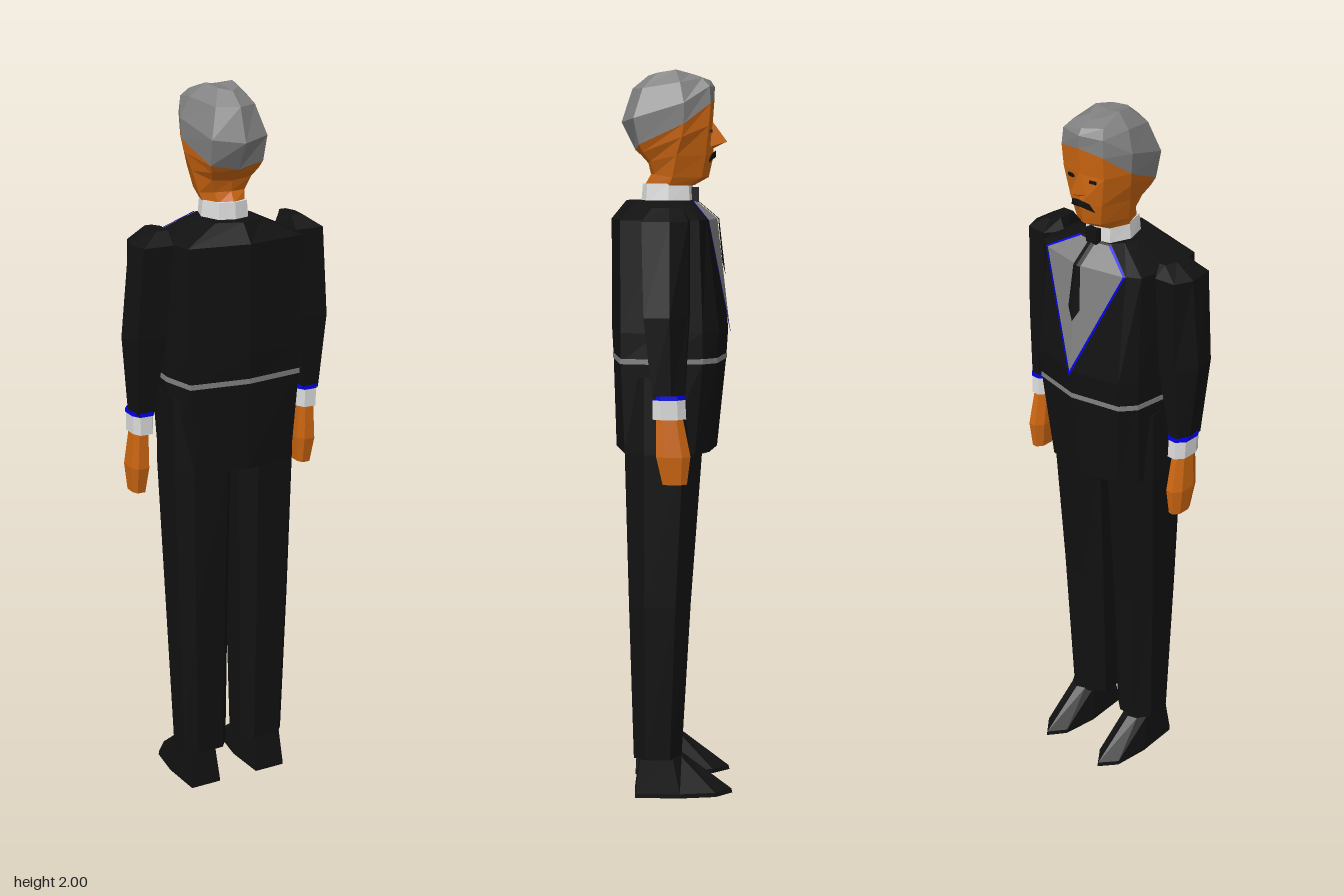
import * as THREE from 'three';
import { ConvexGeometry } from 'three/addons/geometries/ConvexGeometry.js';

const mat = (name, color, extra = {}) =>
  Object.assign(new THREE.MeshStandardMaterial({ color, flatShading: true, ...extra }), { name });

// Full ring from a half outline running front to back on the +x side.
function ring(half) {
  const mid = half.slice(1, -1);
  return [half[0], ...mid.map(([x, y, z]) => [-x, y, z]), half[half.length - 1], ...mid.reverse()];
}
const level = (y, half) => ring(half.map(([x, z]) => [x, y, z]));
// Closed ring for an off-centre limb, listed counter-clockwise seen from above.
const limb = (y, pts) => pts.map(([x, z]) => [x, y, z]);
// Rectangle-like limb section with chamfered front corners.
const section = (y, x0, x1, zf, zb) => {
  const w = x1 - x0, c = (zb - zf) * 0.25;
  return limb(y, [[x1, zf + c], [x1 - w * 0.3, zf], [x0 + w * 0.3, zf], [x0, zf + c], [x0, zb - c], [x0 + w * 0.2, zb], [x1 - w * 0.2, zb], [x1, zb - c]]);
};

// Capped skin over rings listed from bottom to top; side -1 mirrors in x.
function loft(rings, side = 1) {
  if (side < 0) rings = rings.map(r => r.map(([x, y, z]) => [-x, y, z]).reverse());
  const out = [], n = rings[0].length;
  const centre = r => [0, 1, 2].map(k => r.reduce((s, p) => s + p[k], 0) / n);
  const low = rings[0], high = rings[rings.length - 1], cl = centre(low), ch = centre(high);
  for (let j = 0; j < n; j++) {
    const k = (j + 1) % n;
    for (let i = 0; i < rings.length - 1; i++) {
      const a = rings[i][j], b = rings[i][k], c = rings[i + 1][k], d = rings[i + 1][j];
      out.push(a, b, c, a, c, d);
    }
    out.push(cl, low[k], low[j], ch, high[j], high[k]);
  }
  return fromPoints(out);
}
function fromPoints(pts) {
  const g = new THREE.BufferGeometry();
  g.setAttribute('position', new THREE.Float32BufferAttribute(pts.flat(), 3));
  g.computeVertexNormals();
  return g;
}

// Depth of the jacket front, used to lay flat details on the chest.
const chestZ = (x, y) => 0.207 * Math.abs(x) + (y < 1.6 ? -0.155 + 0.1167 * (y - 1.3) : -0.12 + 1.2 * (y - 1.6));
function patch(outline, lift) {
  const p = outline.map(([x, y]) => [x, y, chestZ(x, y) - lift]);
  const out = [];
  for (let i = 1; i < p.length - 1; i++) out.push(p[0], p[i], p[i + 1]);
  return fromPoints(out);
}

export function createModel() {
  const model = new THREE.Group();
  model.name = 'manInSuit';
  const both = { side: THREE.DoubleSide };
  const black = mat('suitBlack', 0x111111, both);
  const grey = mat('grey', 0x808080, both);
  const white = mat('shirtWhite', 0xdcdcdc);
  const skin = mat('skin', 0xcc6611);
  const blue = mat('trimBlue', 0x0000ff, both);
  const add = (name, geometry, material) => {
    const m = new THREE.Mesh(geometry, material);
    m.name = name;
    model.add(m);
    return m;
  };

  // Jacket
  const hem = [[0, -0.125], [0.12, -0.1], [0.165, -0.06], [0.18, 0.03], [0.15, 0.13], [0, 0.155]];
  const waist = [[0, -0.15], [0.142, -0.12], [0.175, -0.08], [0.187, 0.04], [0.166, 0.14], [0, 0.162]];
  add('jacket', loft([
    level(0.97, hem),
    level(1.22, waist),
    level(1.3, [[0, -0.155], [0.145, -0.125], [0.177, -0.08], [0.187, 0.04], [0.17, 0.14], [0, 0.166]]),
    level(1.6, [[0, -0.12], [0.14, -0.091], [0.175, -0.07], [0.187, 0.03], [0.173, 0.14], [0, 0.166]]),
    level(1.65, [[0, -0.06], [0.05, -0.0497], [0.07, -0.02], [0.08, 0.02], [0.07, 0.1], [0, 0.125]]),
  ]), black);
  const scaled = (half, s) => half.map(([x, z]) => [x * s, z * s]);
  add('waistBand', loft([level(1.216, scaled(waist, 1.01)), level(1.23, scaled(waist, 1.01))]), grey);
  add('jacketLining', loft([level(0.966, scaled(hem, 0.93)), level(0.971, scaled(hem, 0.93))]), grey);

  // Waistcoat, lapel trim and tie
  for (const s of [1, -1]) {
    add('waistcoat', patch([[0, 1.3], [s * 0.135, 1.6], [0, 1.6]], 0.004), grey);
    add('waistcoatTop', patch([[0, 1.6], [s * 0.135, 1.6], [s * 0.05, 1.647], [0, 1.647]], 0.004), grey);
    add('lapelTrim', patch([[0, 1.285], [s * 0.141, 1.6], [s * 0.135, 1.6], [0, 1.3]], 0.005), blue);
    add('collarTrim', patch([[s * 0.135, 1.6], [s * 0.143, 1.6], [s * 0.055, 1.65], [s * 0.048, 1.648]], 0.005), blue);
    add('tie', patch([[0, 1.6], [s * 0.012, 1.6], [s * 0.02, 1.48], [0, 1.445]], 0.009), black);
    add('tieTop', patch([[0, 1.6], [s * 0.012, 1.6], [s * 0.012, 1.65], [0, 1.65]], 0.009), black);
  }
  const knot = add('tieKnot', new THREE.BoxGeometry(0.036, 0.04, 0.02), black);
  knot.position.set(0, 1.665, -0.063);

  // Shirt collar
  add('shirtCollar', loft([
    level(1.64, [[0, -0.06], [0.045, -0.048], [0.066, 0.01], [0.045, 0.072], [0, 0.085]]),
    level(1.695, [[0, -0.056], [0.042, -0.044], [0.06, 0.01], [0.042, 0.068], [0, 0.08]]),
  ]), white);

  // Head and hair share the slanted hairline ring
  const hairline = ring([[0, 1.92, -0.115], [0.072, 1.91, -0.103], [0.102, 1.855, -0.03], [0.078, 1.8, 0.09], [0, 1.785, 0.1]]);
  add('head', loft([
    level(1.69, [[0, -0.06], [0.042, -0.045], [0.06, 0.01], [0.04, 0.06], [0, 0.075]]),
    ring([[0, 1.712, -0.1], [0.042, 1.712, -0.08], [0.066, 1.712, 0], [0.045, 1.72, 0.05], [0, 1.72, 0.058]]),
    ring([[0, 1.77, -0.113], [0.055, 1.77, -0.09], [0.081, 1.77, -0.01], [0.058, 1.755, 0.06], [0, 1.75, 0.065]]),
    ring([[0, 1.85, -0.11], [0.07, 1.85, -0.098], [0.096, 1.82, -0.025], [0.07, 1.78, 0.08], [0, 1.772, 0.085]]),
    hairline,
  ]), skin);
  add('hair', loft([
    hairline,
    ring([[0, 1.955, -0.116], [0.068, 1.955, -0.1], [0.105, 1.91, -0.03], [0.082, 1.87, 0.105], [0, 1.86, 0.138]]),
    ring([[0, 1.972, -0.105], [0.052, 1.977, -0.08], [0.082, 1.965, -0.02], [0.058, 1.95, 0.08], [0, 1.95, 0.108]]),
    ring([[0, 1.985, -0.07], [0.022, 1.99, -0.05], [0.04, 2, -0.01], [0.03, 1.992, 0.04], [0, 1.985, 0.065]]),
  ]), grey);

  // Face details
  const hull = pts => new ConvexGeometry(pts.map(p => new THREE.Vector3(...p)));
  add('nose', hull([[0, 1.865, -0.108], [0, 1.808, -0.15], [0.022, 1.793, -0.1], [-0.022, 1.793, -0.1], [0, 1.788, -0.108]]), skin);
  add('moustache', hull([[0, 1.785, -0.12], [0, 1.767, -0.12], [0.03, 1.775, -0.109], [-0.03, 1.775, -0.109],
    [0.042, 1.752, -0.1], [-0.042, 1.752, -0.1], [0, 1.768, -0.1]]), black);
  for (const s of [1, -1]) {
    const eye = add('eye', new THREE.BoxGeometry(0.02, 0.008, 0.006), black);
    eye.position.set(s * 0.038, 1.836, -0.104);
    eye.rotation.y = -s * 0.17;
  }

  // Arms, legs and shoes
  for (const s of [1, -1]) {
    const side = s > 0 ? 'left' : 'right';
    add(side + 'Sleeve', loft([
      limb(1.135, [[0.287, 0.005], [0.27, -0.03], [0.245, -0.032], [0.224, 0], [0.234, 0.055], [0.28, 0.055]]),
      limb(1.35, [[0.305, 0.01], [0.265, -0.04], [0.215, -0.045], [0.188, 0], [0.205, 0.078], [0.29, 0.078]]),
      limb(1.6, [[0.28, 0.01], [0.26, -0.04], [0.2, -0.045], [0.165, 0], [0.185, 0.083], [0.27, 0.083]]),
      limb(1.635, [[0.225, 0.01], [0.215, -0.025], [0.195, -0.025], [0.18, 0], [0.187, 0.055], [0.22, 0.055]]),
    ], s), black);
    add(side + 'CuffTrim', loft([section(1.132, 0.223, 0.288, -0.034, 0.057), section(1.143, 0.223, 0.288, -0.034, 0.057)], s), blue);
    add(side + 'Cuff', loft([section(1.08, 0.226, 0.285, -0.035, 0.055), section(1.135, 0.226, 0.286, -0.032, 0.055)], s), white);
    add(side + 'Hand', loft([
      section(0.905, 0.242, 0.28, -0.037, 0.028),
      section(0.98, 0.234, 0.288, -0.046, 0.045),
      section(1.085, 0.238, 0.28, -0.025, 0.045),
    ], s), skin);
    add(side + 'Leg', loft([
      section(0.11, 0.025, 0.158, -0.025, 0.108),
      section(0.55, 0.02, 0.173, -0.05, 0.12),
      section(0.97, 0.013, 0.185, -0.08, 0.13),
      section(1.18, 0.005, 0.184, -0.08, 0.13),
    ], s), black);
    add(side + 'Shoe', loft([
      limb(0, [[0.157, -0.02], [0.145, -0.12], [0.105, -0.168], [0.068, -0.12], [0.053, -0.02], [0.06, 0.105], [0.15, 0.105]]),
      limb(0.012, [[0.157, -0.02], [0.145, -0.118], [0.105, -0.165], [0.068, -0.118], [0.053, -0.02], [0.06, 0.105], [0.15, 0.105]]),
      limb(0.112, [[0.148, 0], [0.132, -0.025], [0.105, -0.035], [0.08, -0.025], [0.064, 0], [0.068, 0.09], [0.144, 0.09]]),
    ], s), black);
  }
  return model;
}
